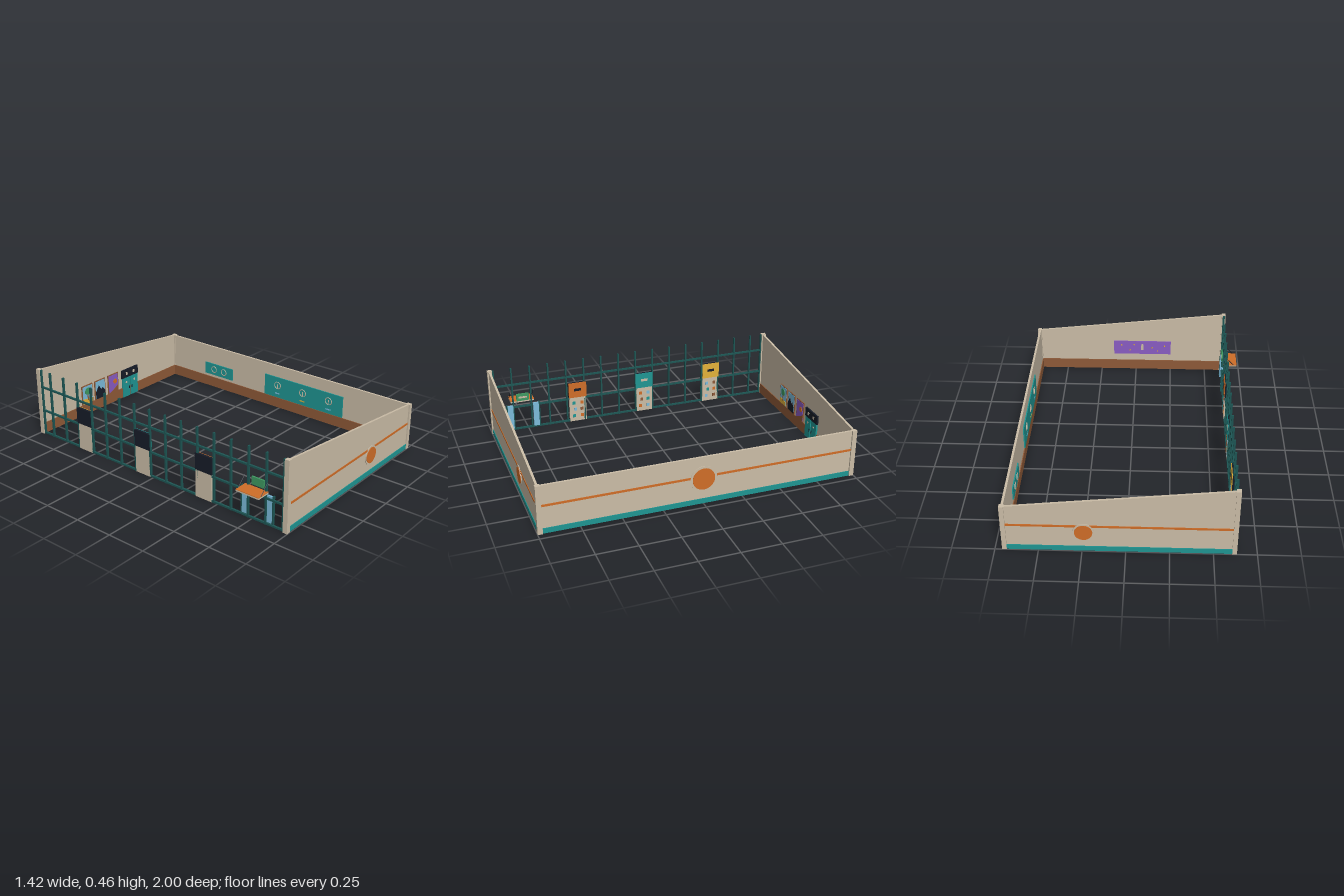
import * as THREE from 'three';

const mat = (name, color) => Object.assign(new THREE.MeshStandardMaterial({ color }), { name });
const M = {
  cream: mat('cream', 0xcbbda7), orange: mat('orange', 0xd06e28), teal: mat('teal', 0x1f9693),
  frame: mat('dark teal', 0x1d5654), brown: mat('brown', 0x8f5a38), purple: mat('purple', 0x8a5cc4),
  navy: mat('navy', 0x171c28), sky: mat('light blue', 0x7cbcdc), yellow: mat('yellow', 0xe3b23a),
  green: mat('green', 0x3f9a62),
};

// A box with its centre at x, y, z
function box(parent, name, m, w, h, d, x, y, z) {
  const mesh = new THREE.Mesh(new THREE.BoxGeometry(w, h, d), m);
  mesh.name = name;
  mesh.position.set(x, y, z);
  parent.add(mesh);
  return mesh;
}

// A disc or ring of depth d facing +z, its back at z
function disc(parent, name, m, r, d, x, y, z, sides = 32) {
  const mesh = new THREE.Mesh(new THREE.CylinderGeometry(r, r, d, sides), m);
  mesh.name = name;
  mesh.rotation.x = Math.PI / 2;
  mesh.position.set(x, y, z + d / 2);
  parent.add(mesh);
}

// An extruded polygon of depth d, its back at z
function poly(parent, name, m, pts, d, z) {
  const shape = new THREE.Shape(pts.map(p => new THREE.Vector2(...p)));
  const mesh = new THREE.Mesh(new THREE.ExtrudeGeometry(shape, { depth: d, bevelEnabled: false }), m);
  mesh.name = name;
  mesh.position.z = z;
  parent.add(mesh);
}

// A group whose +z side faces out of the wall
function face(parent, name, x, y, z, rotY) {
  const g = new THREE.Group();
  g.name = name;
  g.position.set(x, y, z);
  g.rotation.y = rotY;
  parent.add(g);
  return g;
}

// A thin rod between two points
function rod(parent, name, m, a, b, r) {
  const p = new THREE.Vector3(...a), q = new THREE.Vector3(...b), dir = q.clone().sub(p);
  const mesh = new THREE.Mesh(new THREE.CylinderGeometry(r, r, dir.length(), 6), m);
  mesh.name = name;
  mesh.position.copy(p).add(q).multiplyScalar(0.5);
  mesh.quaternion.setFromUnitVectors(new THREE.Vector3(0, 1, 0), dir.normalize());
  parent.add(mesh);
}

// Outer base band, stripe and round badge, in wall coordinates
function outerTrim(g, len, badgeX, badgeY, r) {
  box(g, 'baseBand', M.teal, len, 0.033, 0.004, 0, 0.0165, 0.002);
  box(g, 'stripe', M.orange, len, 0.014, 0.003, 0, 0.179, 0.0015);
  disc(g, 'badgeRim', M.cream, r * 1.2, 0.004, badgeX, badgeY, 0);
  disc(g, 'badge', M.orange, r, 0.007, badgeX, badgeY, 0);
}

const XL = 0.695, XR = -0.62, Z = 0.985, MID = (XL + XR) / 2, LEN = XL - XR;

function buildWalls(root) {
  // Corner posts
  for (const s of [1, -1]) {
    box(root, 'lowPost', M.cream, 0.027, 0.31, 0.03, XL, 0.155, s * Z);
    box(root, 'tallPost', M.cream, 0.027, 0.455, 0.03, XR, 0.2275, s * Z);
  }
  // Front and back walls with sloping tops
  for (const s of [1, -1]) {
    const wall = face(root, s > 0 ? 'frontWall' : 'backWall', 0, 0, 0, 0);
    poly(wall, 'panel', M.cream, [[XR, 0], [XL, 0], [XL, 0.308], [XR, 0.452]], 0.014, s * Z - 0.007);
    const out = face(wall, 'outside', MID, 0, s * (Z + 0.007), s > 0 ? 0 : Math.PI);
    outerTrim(out, LEN - 0.027, s * (0.24 - MID), 0.135, 0.052);
    box(wall, 'skirting', M.brown, LEN - 0.02, 0.072, 0.006, MID, 0.036, s * (Z - 0.01));
  }
  // Long side wall
  box(root, 'sideWall', M.cream, 0.014, 0.308, 2 * Z, XL - 0.003, 0.154, 0);
  outerTrim(face(root, 'sideWallOutside', XL + 0.004, 0, 0, Math.PI / 2), 1.94, 0, 0.165, 0.07);
  box(root, 'sideSkirting', M.brown, 0.006, 0.072, 1.95, XL - 0.013, 0.036, 0);
}

function buildWindowFrame(root) {
  const g = face(root, 'windowFrame', XR, 0, 0, 0);
  for (let i = 0; i < 16; i++)
    box(g, 'mullion', M.frame, 0.014, 0.452, i ? 0.01 : 0.02, 0, 0.226, 0.968 - i * 0.1234);
  box(g, 'mullion', M.frame, 0.014, 0.452, 0.012, 0, 0.226, -0.968);
  for (const y of [0.007, 0.168, 0.333]) box(g, 'rail', M.frame, 0.012, 0.011, 1.95, 0, y, 0);

  // Display boards with a coloured header facing inward
  [[0.4, M.orange], [-0.08, M.teal], [-0.58, M.yellow]].forEach(([z, m], k) => {
    const b = face(root, 'displayBoard', XR, 0, z, Math.PI / 2);
    box(b, 'board', M.cream, 0.118, 0.178, 0.014, 0, 0.089, 0);
    box(b, 'headerBack', M.navy, 0.125, 0.108, 0.016, 0, 0.232, 0);
    box(b, 'header', m, 0.125, 0.108, 0.004, 0, 0.232, 0.01);
    box(b, 'headerMark', k === 1 ? M.cream : M.navy, 0.05, 0.018, 0.002, 0, 0.235, 0.013);
    const tints = [M.teal, M.orange, M.sky, M.brown];
    for (let i = 0; i < 6; i++) {
      const x = (i % 2 ? 0.028 : -0.028) + (i === 2 ? 0.01 : 0);
      box(b, 'tile', tints[(i + k) % 4], 0.02, 0.022, 0.003, x, 0.04 + Math.floor(i / 2) * 0.048, 0.008);
    }
  });
}

function buildCounter(root) {
  const g = face(root, 'servingHatch', XR, 0, 0.78, 0);
  // Shelf outside the frame, hung from two stays
  box(g, 'shelf', M.cream, 0.09, 0.009, 0.16, -0.045, 0.204, 0);
  box(g, 'shelfTop', M.orange, 0.09, 0.003, 0.16, -0.045, 0.21, 0);
  for (const s of [1, -1]) {
    rod(g, 'stay', M.navy, [-0.07, 0.21, s * 0.078], [-0.008, 0.272, s * 0.078], 0.002);
    box(g, 'sidePanel', M.sky, 0.012, 0.17, 0.04, 0.009, 0.1, s * 0.088);
    box(g, 'sidePanelEdge', M.frame, 0.016, 0.18, 0.008, 0.009, 0.1, s * 0.11);
  }
  // Small sign above
  const sign = face(g, 'hatchSign', 0.01, 0.24, 0, Math.PI / 2);
  box(sign, 'signPlate', M.green, 0.085, 0.05, 0.01, 0, 0, 0);
  box(sign, 'signBand', M.cream, 0.055, 0.012, 0.003, 0, 0, 0.006);
}

function buildInnerDisplays(root) {
  // Framed pictures on the back wall
  const back = face(root, 'pictures', 0, 0.142, -Z + 0.009, 0);
  const pics = [[-0.225, M.sky], [-0.104, M.sky], [0.024, M.purple]];
  pics.forEach(([x, m], i) => {
    const p = face(back, 'picture', x, 0, 0, 0);
    box(p, 'pictureFrame', M.brown, 0.1, 0.14, 0.01, 0, 0, 0);
    box(p, 'canvas', m, 0.088, 0.128, 0.003, 0, 0, 0.0055);
    if (i === 0) {
      poly(p, 'sand', M.yellow, [[-0.044, -0.064], [0.044, -0.064], [0.044, -0.035], [-0.044, -0.025]], 0.002, 0.007);
      box(p, 'trunk', M.brown, 0.008, 0.06, 0.002, 0, -0.01, 0.009);
      disc(p, 'leaves', M.green, 0.026, 0.003, 0, 0.026, 0.008, 10);
    } else if (i === 1) {
      poly(p, 'mountains', M.navy, [[-0.044, -0.064], [0.044, -0.064], [0.044, -0.02], [0.02, 0.01],
        [0.008, -0.004], [-0.015, 0.032], [-0.044, -0.012]], 0.002, 0.007);
    } else {
      poly(p, 'ground', M.brown, [[-0.044, -0.064], [0.044, -0.064], [0.044, -0.02], [0, -0.045]], 0.002, 0.007);
      disc(p, 'sun', M.orange, 0.018, 0.002, 0.015, 0.012, 0.007, 20);
    }
  });

  // Pair of doors with a sign over them
  const doors = face(root, 'doors', 0.19, 0, -Z + 0.012, 0);
  for (const s of [1, -1]) {
    box(doors, 'door', M.teal, 0.07, 0.145, 0.012, s * 0.04, 0.0725, 0);
    disc(doors, 'doorMark', M.cream, 0.008, 0.002, s * 0.04, 0.11, 0.006, 12);
    box(doors, 'doorHandle', M.navy, 0.006, 0.02, 0.004, s * 0.014, 0.065, 0.008);
  }
  box(doors, 'doorSign', M.navy, 0.16, 0.06, 0.014, 0, 0.176, 0);
  for (const x of [-0.035, 0.035]) box(doors, 'signMark', M.cream, 0.018, 0.02, 0.002, x, 0.176, 0.008);

  // Purple banner on the front wall
  const banner = face(root, 'banner', -0.045, 0.178, Z - 0.009, Math.PI);
  box(banner, 'bannerPlate', M.purple, 0.41, 0.105, 0.006, 0, 0, 0);
  box(banner, 'bannerFigure', M.cream, 0.018, 0.034, 0.002, 0, -0.004, 0.004);
  disc(banner, 'bannerFigureHead', M.cream, 0.009, 0.002, 0, 0.021, 0.003, 12);
  [[-0.15, 0.02], [-0.09, -0.02], [-0.06, 0.025], [0.07, 0.0], [0.11, -0.025], [0.16, 0.015]].forEach(([x, y]) =>
    disc(banner, 'bannerSpot', M.yellow, 0.006, 0.002, x, y, 0.003, 4));

  // Teal boards on the long side wall
  const boards = face(root, 'sideBoards', XL - 0.012, 0, 0, -Math.PI / 2);
  box(boards, 'largeBoard', M.teal, 0.64, 0.15, 0.01, 0.19, 0.15, 0);
  box(boards, 'smallBoard', M.teal, 0.25, 0.085, 0.01, -0.545, 0.135, 0);
  const ring = (x, y, r) => {
    const mesh = new THREE.Mesh(new THREE.TorusGeometry(r, 0.003, 6, 24), M.cream);
    mesh.name = 'boardRing';
    mesh.position.set(x, y, 0.005);
    boards.add(mesh);
  };
  [-0.02, 0.19, 0.4].forEach((x, i) => {
    ring(x, 0.165, 0.025);
    box(boards, 'boardMark', M.cream, 0.006, 0.03, 0.002, x, 0.16, 0.006);
    box(boards, 'boardCaption', i === 1 ? M.yellow : M.sky, 0.04, 0.008, 0.002, x, 0.105, 0.006);
  });
  ring(-0.5, 0.135, 0.022);
  ring(-0.59, 0.135, 0.022);
}

export function createModel() {
  const root = new THREE.Group();
  root.name = 'enclosure';
  buildWalls(root);
  buildWindowFrame(root);
  buildCounter(root);
  buildInnerDisplays(root);
  return root;
}
